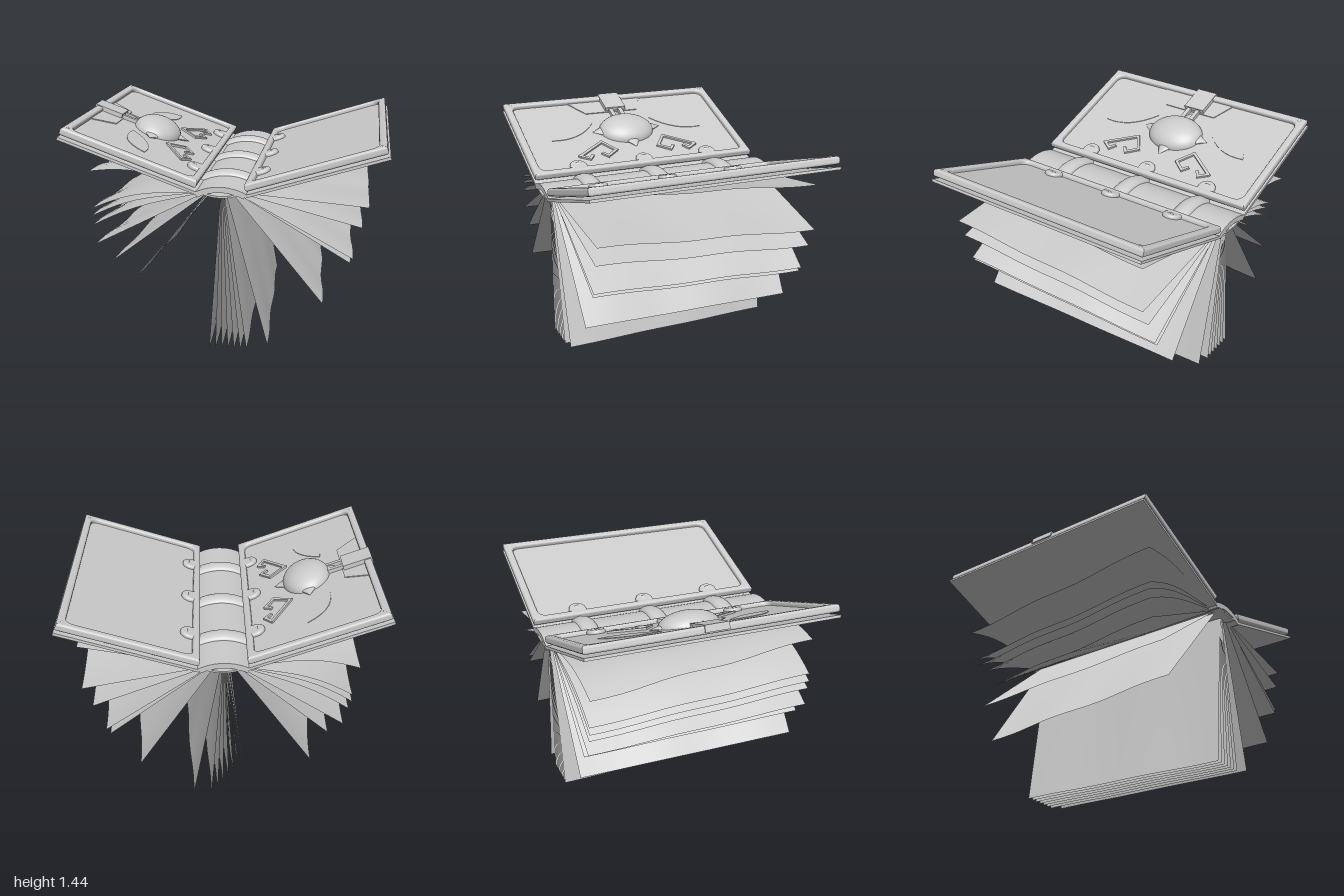
import * as THREE from 'three';

const mat = new THREE.MeshStandardMaterial({ color: 0xcccccc });
const sheet = new THREE.MeshStandardMaterial({ color: 0xcccccc, side: THREE.DoubleSide });

function add(parent, name, geo, material = mat) {
  const m = new THREE.Mesh(geo, material);
  m.name = name;
  parent.add(m);
  return m;
}

// Box given by its limits
function box(x0, x1, y0, y1, z0, z1) {
  return new THREE.BoxGeometry(x1 - x0, y1 - y0, z1 - z0)
    .translate((x0 + x1) / 2, (y0 + y1) / 2, (z0 + z1) / 2);
}

// Flat shape drawn in x / -z, raised from y0 to y1
function slab(shape, y0, y1, bevel = 0) {
  return new THREE.ExtrudeGeometry(shape, {
    depth: y1 - y0 - 2 * bevel, bevelEnabled: bevel > 0, bevelSize: bevel,
    bevelThickness: bevel, bevelOffset: -bevel, bevelSegments: 4, curveSegments: 8,
  }).rotateX(-Math.PI / 2).translate(0, y0 + bevel, 0);
}

const poly = (pts) => new THREE.Shape(pts.map(([x, y]) => new THREE.Vector2(x, y)));

// Opening of the cover frame, with rounded corners
function opening(x0, x1, h, r) {
  const path = new THREE.Path();
  path.moveTo(x0 + r, -h);
  path.lineTo(x1 - r, -h).quadraticCurveTo(x1, -h, x1, -h + r);
  path.lineTo(x1, h - r).quadraticCurveTo(x1, h, x1 - r, h);
  path.lineTo(x0 + r, h).quadraticCurveTo(x0, h, x0, h - r);
  path.lineTo(x0, -h + r).quadraticCurveTo(x0, -h, x0 + r, -h);
  return path;
}

// Cover: x runs outwards from the hinge, y is its upper side
function makeCover(length) {
  const g = new THREE.Group();
  add(g, 'coverBoard', box(0, length, 0, 0.018, -0.8, 0.8));
  add(g, 'coverPanel', box(0.03, length - 0.02, 0.042, 0.055, -0.78, 0.78));
  const frame = poly([[0.015, -0.8], [length - 0.005, -0.8], [length - 0.005, 0.8], [0.015, 0.8]]);
  frame.holes.push(opening(0.06, length - 0.055, 0.75, 0.06));
  add(g, 'coverFrame', slab(frame, 0.034, 0.084, 0.015));
  for (const s of [-1, 1]) {
    add(g, 'cornerRivet', new THREE.SphereGeometry(0.018, 12, 8)
      .translate(length - 0.035, 0.07, s * 0.755));
  }
  // Rounded feet of the spine bands
  for (const z of [-0.48, 0, 0.48]) {
    const foot = new THREE.Shape();
    foot.moveTo(0.03, -0.06).lineTo(0.08, -0.06);
    foot.absarc(0.08, 0, 0.06, -Math.PI / 2, Math.PI / 2, false);
    foot.lineTo(0.03, 0.06);
    add(g, 'bandFoot', slab(foot, 0.045, 0.08, 0.015).translate(0, 0, z));
    add(g, 'footStud', new THREE.OctahedronGeometry(0.02).scale(0.8, 0.3, 1.2)
      .translate(0.1, 0.081, z));
  }
  return g;
}

// Domed boss, clasp and raised ornaments of the decorated cover
function decorate(g) {
  const cx = 0.458, floor = 0.05;
  add(g, 'domeBoss', new THREE.SphereGeometry(1, 40, 16, 0, Math.PI * 2, 0, Math.PI / 2)
    .scale(0.16, 0.1, 0.2).translate(cx, floor, 0));
  for (let i = 0; i < 4; i++) {
    const r = i % 2 ? 0.19 : 0.155;
    add(g, 'bossPoint', new THREE.ConeGeometry(0.085, 0.14, 16).rotateZ(-Math.PI / 2)
      .scale(1, 0.4, 1).translate(r, 0, 0).rotateY(i * Math.PI / 2).translate(cx, floor + 0.012, 0));
  }
  add(g, 'claspPlate', slab(poly([[0.87, -0.25], [0.7, -0.17], [0.7, 0.23], [0.87, 0.34]]), 0.05, 0.061));
  add(g, 'claspStrap', box(0.71, 0.905, 0.045, 0.09, -0.075, 0.08));
  for (const s of [-1, 1]) {
    add(g, 'claspProng', box(0.6, 0.75, 0.05, 0.08, s * 0.035 - 0.015, s * 0.035 + 0.015));
    // Angular hook ornament
    const path = [[0.185, 0.345], [0.152, 0.37], [0.192, 0.43], [0.33, 0.235], [0.22, 0.16], [0.162, 0.235], [0.195, 0.262]];
    for (let i = 1; i < path.length; i++) {
      const [x0, z0] = path[i - 1], [x1, z1] = path[i];
      add(g, 'hookOrnament', new THREE.BoxGeometry(Math.hypot(x1 - x0, z1 - z0) + 0.02, 0.02, 0.02)
        .rotateY(-s * Math.atan2(z1 - z0, x1 - x0))
        .translate((x0 + x1) / 2, 0.058, s * (z0 + z1) / 2));
    }
    // Thin leaf inlay
    const leaf = new THREE.Shape();
    leaf.moveTo(0.58, s * 0.22).quadraticCurveTo(0.38, s * 0.36, 0.41, s * 0.57);
    leaf.quadraticCurveTo(0.62, s * 0.5, 0.58, s * 0.22);
    add(g, 'leafInlay', slab(leaf, 0.05, 0.059));
  }
}

// Sheet from the binding to its outer edge, bowed, twisted by lift at its ends
function makePage(tipX, tipY, bend = 0, lift = 0.05) {
  const a = Math.atan2(tipX, 1.03 - tipY);
  const rx = 0.1 * Math.sin(a), ry = 1.032 + 0.014 * Math.sin(a) ** 2;
  const dx = tipX - rx, dy = tipY - ry, len = Math.hypot(dx, dy);
  const geo = new THREE.PlaneGeometry(1, 2, 12, 16);
  const p = geo.attributes.position;
  for (let i = 0; i < p.count; i++) {
    const s = p.getX(i) + 0.5, t = p.getY(i);
    const wave = t - 0.12 * Math.sin(2 * Math.PI * t);
    const off = bend * Math.sin(Math.PI * s ** 1.3) + lift * (0.12 + 0.88 * s) * wave;
    p.setXYZ(i, rx + dx * s - dy / len * off, ry + dy * s + dx / len * off, t * (0.745 - 0.018 * s));
  }
  geo.computeVertexNormals();
  return geo;
}

// Arc strip about the z axis, extruded along z
function archStrip(r, thick, half) {
  const s = new THREE.Shape();
  s.absarc(0, 0, r, Math.PI / 2 + half, Math.PI / 2 - half, true);
  s.absarc(0, 0, r - thick, Math.PI / 2 - half, Math.PI / 2 + half, false);
  return new THREE.ExtrudeGeometry(s, { depth: 1.6, bevelEnabled: false, curveSegments: 24 })
    .translate(0, 0, -0.8);
}

export function createModel() {
  const book = new THREE.Group();
  book.name = 'openBook';

  // Covers
  const right = makeCover(0.89);
  right.name = 'plainCover';
  right.position.set(0.15, 1.034, 0);
  right.rotation.z = THREE.MathUtils.degToRad(17.5);
  book.add(right);
  const left = makeCover(0.903);
  decorate(left);
  left.position.set(0.15, 1.044, 0);
  left.rotation.z = THREE.MathUtils.degToRad(20);
  const turned = new THREE.Group();
  turned.name = 'decoratedCover';
  turned.rotation.y = Math.PI;
  turned.add(left);
  book.add(turned);

  // Spine with three raised bands
  add(book, 'spine', archStrip(0.34, 0.035, 0.48).translate(0, 0.757, 0));
  for (const z of [-0.48, 0, 0.48]) {
    const section = [];
    for (let i = 0; i <= 16; i++) {
      const a = -Math.PI / 2 + Math.PI * i / 16;
      section.push(new THREE.Vector2(0.335 + 0.035 * Math.cos(a), 0.06 * Math.sin(a)));
    }
    add(book, 'spineBand', new THREE.LatheGeometry(section, 20, -0.5, 1.0)
      .rotateX(-Math.PI / 2).translate(0, 0.757, z), sheet);
  }

  // Curved strip holding the page roots
  add(book, 'bindingStrip', archStrip(0.3, 0.012, 0.43).rotateZ(Math.PI).translate(0, 1.328, 0));

  // Pages: outer edge x, y, bow, lift
  const pages = [
    [-0.83, 1.075, -0.05, -0.07], [-0.81, 0.855, -0.045, -0.05], [-0.815, 0.805, -0.04, -0.05],
    [-0.8, 0.75, -0.03, -0.05], [-0.78, 0.63, 0, -0.05], [-0.68, 0.545, 0, -0.03], [-0.6, 0.335, 0, -0.05],
    [0.24, 0.038, 0, 0.045], [0.58, 0.32, 0, 0.055], [0.75, 0.58, 0, 0.06], [0.77, 0.61, 0, 0.055],
    [0.83, 0.802, 0, 0.058], [0.878, 0.93, 0, 0.055], [0.865, 1.225, 0, 0.05],
  ];
  for (let i = 0; i < 7; i++) pages.push([-0.125 + i * 0.04, 0.006, 0, 0.035]);
  for (const p of pages) add(book, 'page', makePage(...p), sheet);

  return book;
}
